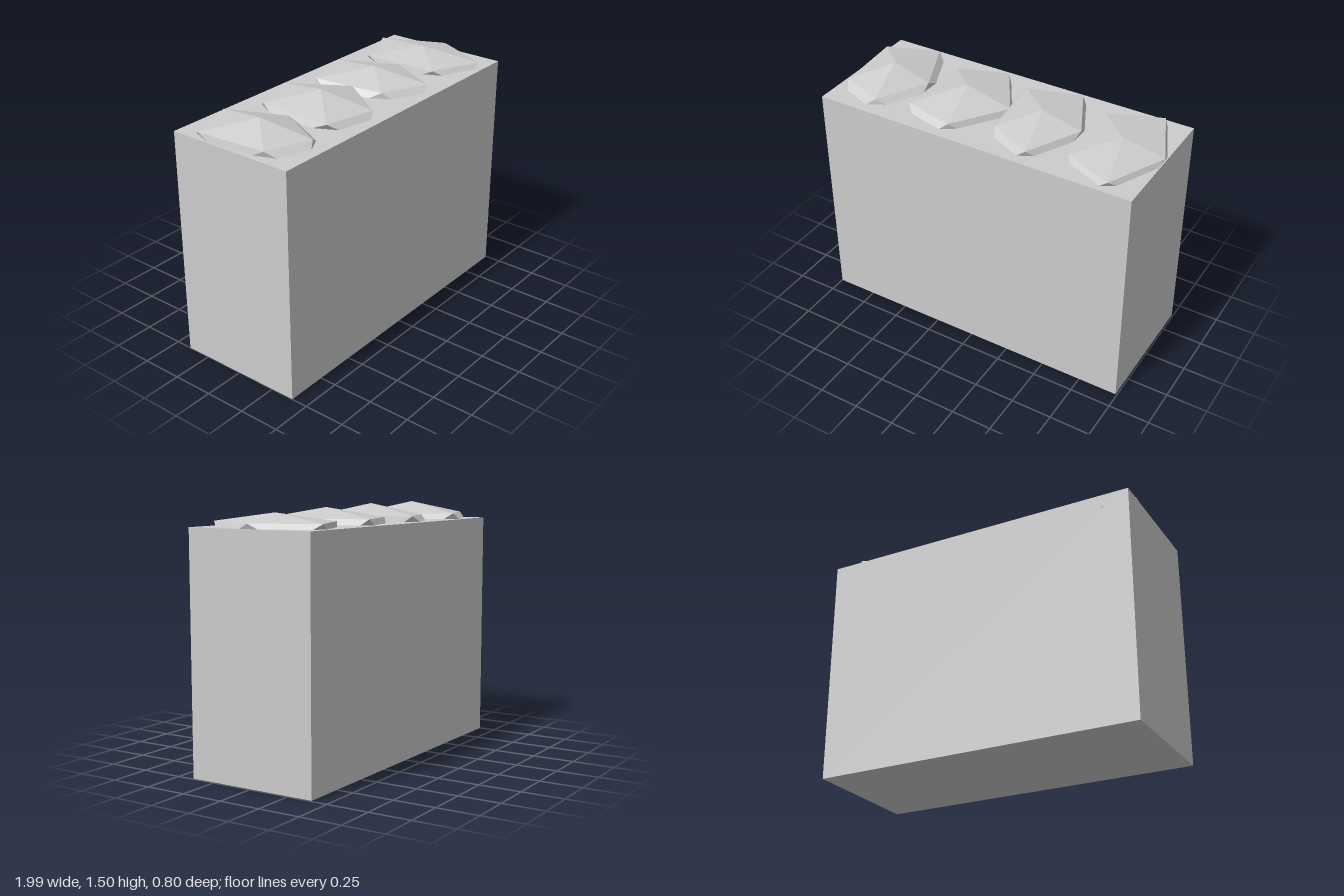
import * as THREE from 'three';

// Each stone is a squashed, uneven 20-sided lump: an apex, two staggered rings of five [x, z] and a base.
// Rings run counter-clockwise from +x as seen from above.
const STONES = [
  { x: -0.755, top: 1.505, rim: 1.435,
    upper: [[-0.52, 0], [-0.67, -0.345], [-0.985, -0.235], [-0.95, 0.205], [-0.68, 0.305]],
    lower: [[-0.5, -0.225], [-0.84, -0.402], [-0.995, 0], [-0.84, 0.402], [-0.5, 0.225]] },
  { x: -0.25, top: 1.505, rim: 1.435,
    upper: [[0.037, 0], [-0.17, -0.337], [-0.47, -0.23], [-0.49, 0.24], [-0.18, 0.315]],
    lower: [[-0.05, -0.21], [-0.35, -0.39], [-0.545, -0.02], [-0.33, 0.39], [-0.05, 0.21]] },
  { x: 0.245, top: 1.495, rim: 1.435,
    upper: [[0.49, 0], [0.325, -0.34], [0, -0.245], [0.053, 0.2], [0.325, 0.33]],
    lower: [[0.45, -0.22], [0.16, -0.36], [-0.07, 0], [0.16, 0.375], [0.45, 0.22]] },
  { x: 0.745, top: 1.48, rim: 1.43,
    upper: [[0.995, 0], [0.83, -0.37], [0.51, -0.245], [0.53, 0.225], [0.83, 0.353]],
    lower: [[0.95, -0.22], [0.66, -0.35], [0.49, 0], [0.67, 0.38], [0.95, 0.22]] },
];
const LOWER_Y = 1.32;
const BASE_Y = 1.26;

function stoneGeometry({ x, top, rim, upper, lower }) {
  const apex = [x, top, 0], base = [x, BASE_Y, 0];
  const U = upper.map(([px, pz]) => [px, rim, pz]);
  const L = lower.map(([px, pz]) => [px, LOWER_Y, pz]);
  const points = [];
  for (let i = 0; i < 5; i++) {
    const j = (i + 1) % 5;
    points.push(
      apex, U[i], U[j],   // crown
      U[i], L[i], U[j],   // sides
      L[i], L[j], U[j],
      base, L[j], L[i],   // underside, bedded in the wall
    );
  }
  const geometry = new THREE.BufferGeometry();
  geometry.setAttribute('position', new THREE.Float32BufferAttribute(points.flat(), 3));
  geometry.computeVertexNormals();
  return geometry;
}

export function createModel() {
  const model = new THREE.Group();
  model.name = 'stoneToppedWall';

  const stoneGrey = new THREE.MeshStandardMaterial({ color: 0xcccccc });
  stoneGrey.name = 'stone grey';
  stoneGrey.flatShading = true;

  // Plain wall block
  const wall = new THREE.Mesh(new THREE.BoxGeometry(1.99, 1.4, 0.797), stoneGrey);
  wall.name = 'wall';
  wall.position.set(-0.004, 0.7, 0);
  model.add(wall);

  // Row of coping stones half sunk into the top
  const coping = new THREE.Group();
  coping.name = 'copingStones';
  STONES.forEach((stone, i) => {
    const mesh = new THREE.Mesh(stoneGeometry(stone), stoneGrey);
    mesh.name = `copingStone${i + 1}`;
    coping.add(mesh);
  });
  model.add(coping);

  return model;
}
